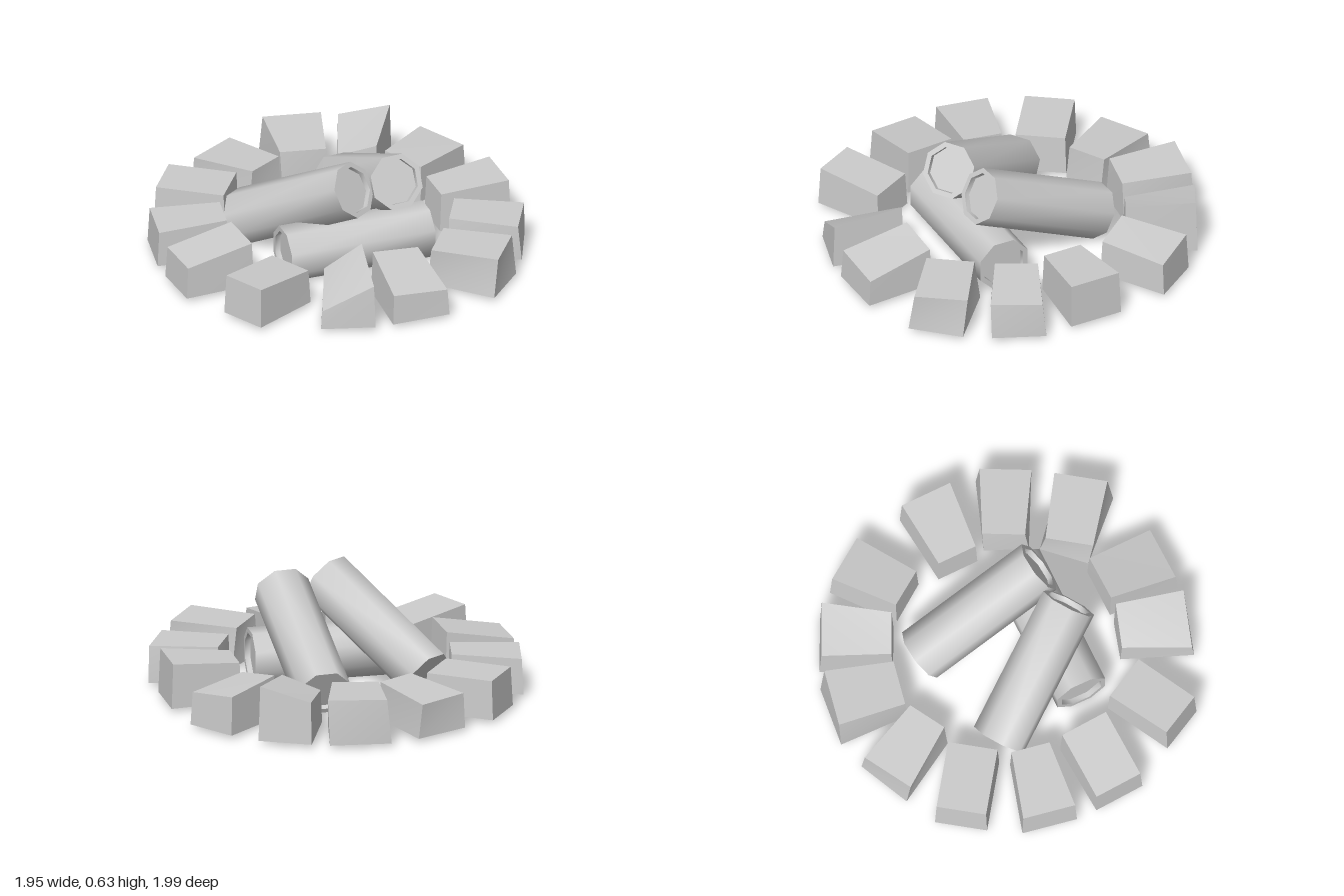
import * as THREE from 'three';
import { toCreasedNormals } from 'three/addons/utils/BufferGeometryUtils.js';

const material = new THREE.MeshStandardMaterial({ color: 0xcccccc });
const rad = THREE.MathUtils.degToRad;
const GROUND = 0.035;

// Eight-sided log with a raised bark rim around each recessed end
function makeLog(name, from, to) {
  const a = new THREE.Vector3(...from), b = new THREE.Vector3(...to);
  const h = a.distanceTo(b) / 2, outer = 0.152, inner = 0.124, recess = 0.03;
  const profile = [
    [0, -h + recess], [inner, -h + recess], [inner, -h], [outer, -h],
    [outer, h], [inner, h], [inner, h - recess], [0, h - recess],
  ].map(([r, y]) => new THREE.Vector2(r, y));
  const lathe = new THREE.LatheGeometry(profile, 8, Math.PI / 8);
  const geometry = toCreasedNormals(lathe, 0.9).rotateX(Math.PI / 2);
  const log = new THREE.Mesh(geometry, material);
  log.name = name;
  log.position.copy(a).add(b).multiplyScalar(0.5);
  log.lookAt(b);
  return log;
}

// Rough-hewn stone: a box whose top is narrowed, twisted and sloped
function makeStone({ at, r, heading, wide, tall, tilt = 0, twist = 0 }) {
  const geometry = new THREE.BoxGeometry(1, 1, 1);
  const p = geometry.attributes.position;
  for (let i = 0; i < p.count; i++) {
    const side = Math.sign(p.getX(i)), up = p.getY(i) > 0, out = p.getZ(i) > 0;
    const k = up ? 0.95 : 1, t = up ? rad(twist) : 0;
    const x = side * k * (out ? wide[1] : wide[0]) / 2;
    const z = (out ? 1 : -1) * k * 0.195;
    const y = up ? (out ? tall[1] : tall[0]) + side * tilt : GROUND;
    p.setXYZ(i, x * Math.cos(t) + z * Math.sin(t), y, z * Math.cos(t) - x * Math.sin(t));
  }
  geometry.computeVertexNormals();
  const stone = new THREE.Mesh(geometry, material);
  stone.name = 'stone';
  stone.position.set(r * Math.sin(rad(at)), 0, r * Math.cos(rad(at)));
  stone.rotation.y = rad(heading);
  return stone;
}

// Angles in degrees from the front; wide and tall are [inner end, outer end]
const STONES = [
  { at: 10, r: 0.8, heading: 1, wide: [0.27, 0.32], tall: [0.265, 0.19], tilt: -0.01 },
  { at: 40, r: 0.85, heading: 47, wide: [0.27, 0.3], tall: [0.25, 0.25], twist: 8 },
  { at: 66, r: 0.82, heading: 67, wide: [0.24, 0.29], tall: [0.25, 0.235], twist: -4 },
  { at: 92, r: 0.77, heading: 91, wide: [0.23, 0.3], tall: [0.25, 0.28] },
  { at: 124, r: 0.82, heading: 126, wide: [0.24, 0.29], tall: [0.255, 0.23], tilt: 0.015 },
  { at: 149, r: 0.81, heading: 154, wide: [0.22, 0.29], tall: [0.25, 0.3], tilt: -0.035 },
  { at: 173, r: 0.8, heading: 174, wide: [0.26, 0.33], tall: [0.26, 0.28], twist: -5 },
  { at: 200, r: 0.765, heading: 205, wide: [0.23, 0.31], tall: [0.25, 0.22], twist: 5 },
  { at: 228, r: 0.775, heading: 235, wide: [0.28, 0.28], tall: [0.25, 0.25] },
  { at: 257, r: 0.765, heading: 260, wide: [0.22, 0.3], tall: [0.25, 0.23] },
  { at: 283.5, r: 0.78, heading: 274, wide: [0.28, 0.28], tall: [0.28, 0.21] },
  { at: 314.6, r: 0.81, heading: 298, wide: [0.27, 0.26], tall: [0.225, 0.255] },
  { at: 345, r: 0.78, heading: 344, wide: [0.21, 0.29], tall: [0.265, 0.205], tilt: 0.07 },
];

export function createModel() {
  const model = new THREE.Group();
  model.name = 'campfire';

  // Ring of stones
  const ring = new THREE.Group();
  ring.name = 'stoneRing';
  STONES.forEach((s) => ring.add(makeStone(s)));

  // One log on the ground, two resting on it
  const logs = new THREE.Group();
  logs.name = 'logs';
  logs.add(
    makeLog('groundLog', [-0.37, 0.155, 0.25], [0.44, 0.155, 0.25]),
    makeLog('leftLeaningLog', [0.195, 0.145, -0.43], [0.255, 0.497, 0.3]),
    makeLog('rightLeaningLog', [-0.41, 0.14, -0.25], [-0.005, 0.522, 0.35]),
  );

  model.add(ring, logs);
  return model;
}
